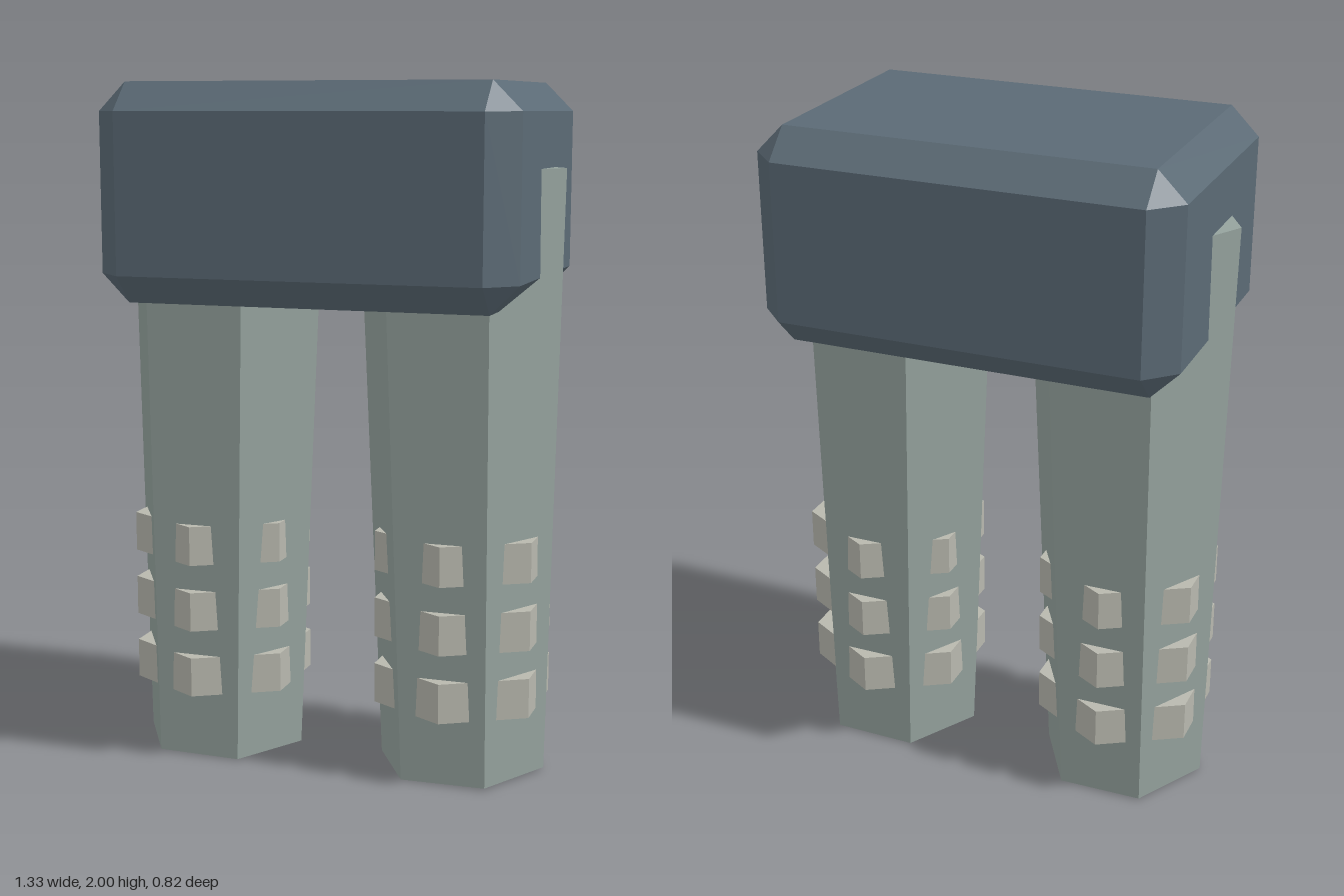
import * as THREE from 'three';
import { ConvexGeometry } from 'three/addons/geometries/ConvexGeometry.js';

const material = (color) => new THREE.MeshStandardMaterial({ color, flatShading: true });

// Box with every edge and corner cut off by a flat chamfer
function chamferedBox(w, h, d, c) {
  const points = [];
  for (const sx of [-1, 1]) for (const sy of [-1, 1]) for (const sz of [-1, 1]) {
    const x = w / 2, y = h / 2, z = d / 2;
    points.push(
      new THREE.Vector3(sx * x, sy * (y - c), sz * (z - c)),
      new THREE.Vector3(sx * (x - c), sy * y, sz * (z - c)),
      new THREE.Vector3(sx * (x - c), sy * (y - c), sz * z));
  }
  return new ConvexGeometry(points);
}

function addMesh(parent, name, geometry, mat, x, y, z) {
  const mesh = new THREE.Mesh(geometry, mat);
  mesh.name = name;
  mesh.position.set(x, y, z);
  parent.add(mesh);
  return mesh;
}

export function createModel() {
  const model = new THREE.Group();
  model.name = 'hipsAndLegs';
  const bodyMat = material(0x5b6a75);
  const legMat = material(0x95a39e);
  const ringMat = material(0xb8b8ae);

  // Pelvis block
  addMesh(model, 'pelvis', chamferedBox(1.22, 0.62, 0.82, 0.082), bodyMat, 0, 1.69, 0);

  // Hexagonal legs, an edge facing outward, leaning slightly in at the top
  const legGeometry = new THREE.CylinderGeometry(0.305, 0.25, 1.755, 6).rotateY(Math.PI / 6);
  // Hexagonal rings, turned so their corners poke through the leg faces
  const ringGeometry = new THREE.CylinderGeometry(0.268, 0.268, 0.117, 6);

  for (const side of [1, -1]) {
    const leg = new THREE.Group();
    leg.name = side > 0 ? 'leftLeg' : 'rightLeg';
    model.add(leg);
    const shaft = addMesh(leg, 'shaft', legGeometry, legMat, side * 0.369, 0.881, 0);
    shaft.rotation.z = side * 0.013;
    for (let i = 0; i < 3; i++) {
      addMesh(leg, 'ankleRing', ringGeometry, ringMat, side * 0.38, 0.26 + i * 0.2, 0);
    }
  }
  return model;
}
